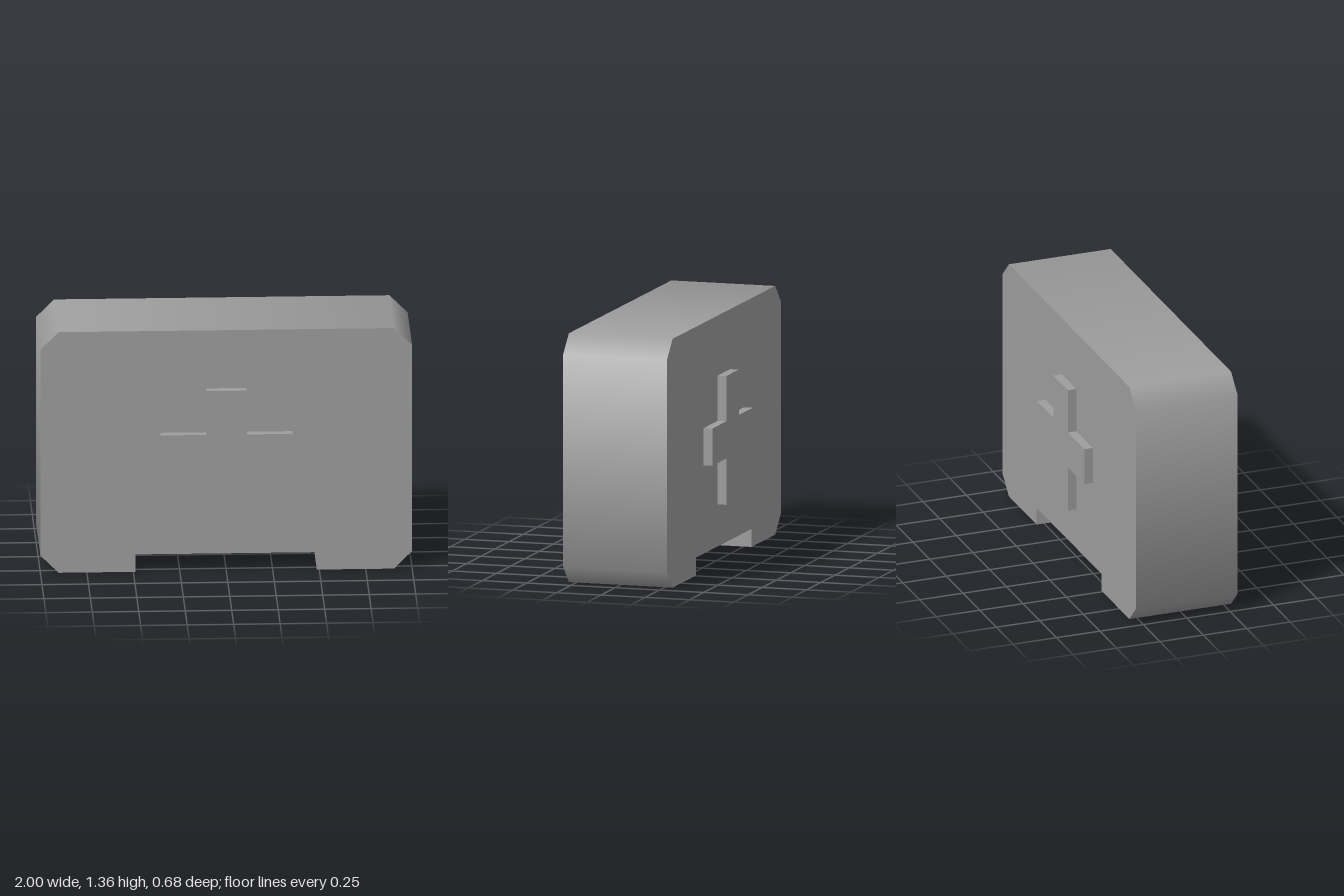
import * as THREE from 'three';

const HALF_DEPTH = 0.293;
const CROSS_DEPTH = 0.049;
const MID_HEIGHT = 0.678;
const CHAMFER_X = 0.902;

// Extrudes a closed outline along +z, with hard edges
function extrude(points, depth) {
  const shape = new THREE.Shape(points.map(([x, y]) => new THREE.Vector2(x, y)));
  return new THREE.ExtrudeGeometry(shape, { depth, bevelEnabled: false });
}

// Mirrors a half outline (x > 0, listed bottom to top) across x = 0
function mirrored(half) {
  return [...half, ...half.map(([x, y]) => [-x, y]).reverse()];
}

// Smooths the rim over the corner chamfers: each chamfer edge takes the direction
// halfway between its two neighbouring faces, front and back stay flat
function smoothChamfers(geometry) {
  const { position, normal } = geometry.attributes;
  const near = Math.cos(Math.PI / 8);
  const far = Math.sin(Math.PI / 8);
  for (let i = 0; i < position.count; i++) {
    const x = position.getX(i);
    if (Math.abs(normal.getZ(i)) > 0.5 || Math.abs(x) < CHAMFER_X - 0.01) continue;
    const onSide = Math.abs(x) > 0.99;
    const up = Math.sign(position.getY(i) - MID_HEIGHT);
    normal.setXYZ(i, Math.sign(x) * (onSide ? near : far), up * (onSide ? far : near), 0);
  }
  return geometry;
}

export function createModel() {
  const model = new THREE.Group();
  model.name = 'firstAidCase';
  const material = new THREE.MeshStandardMaterial({ color: 0x9d9d9d });

  // Case body: chamfered corners and a notch between two feet
  const bodyOutline = mirrored([
    [0.487, 0.098], [0.487, 0], [CHAMFER_X, 0], [1, 0.098], [1, 1.258], [CHAMFER_X, 1.356],
  ]);
  const body = new THREE.Mesh(smoothChamfers(extrude(bodyOutline, HALF_DEPTH * 2)), material);
  body.name = 'caseBody';
  body.position.z = -HALF_DEPTH;
  model.add(body);

  // Raised cross on the front and the back
  const crossOutline = mirrored([
    [0.109, 0.327], [0.109, 0.579], [0.355, 0.579],
    [0.355, 0.782], [0.109, 0.782], [0.109, 1.029],
  ]);
  const crossGeometry = extrude(crossOutline, CROSS_DEPTH);
  for (const [name, turn, z] of [['frontCross', 0, HALF_DEPTH], ['backCross', Math.PI, -HALF_DEPTH]]) {
    const cross = new THREE.Mesh(crossGeometry, material);
    cross.name = name;
    cross.rotation.y = turn;
    cross.position.z = z;
    model.add(cross);
  }

  return model;
}
